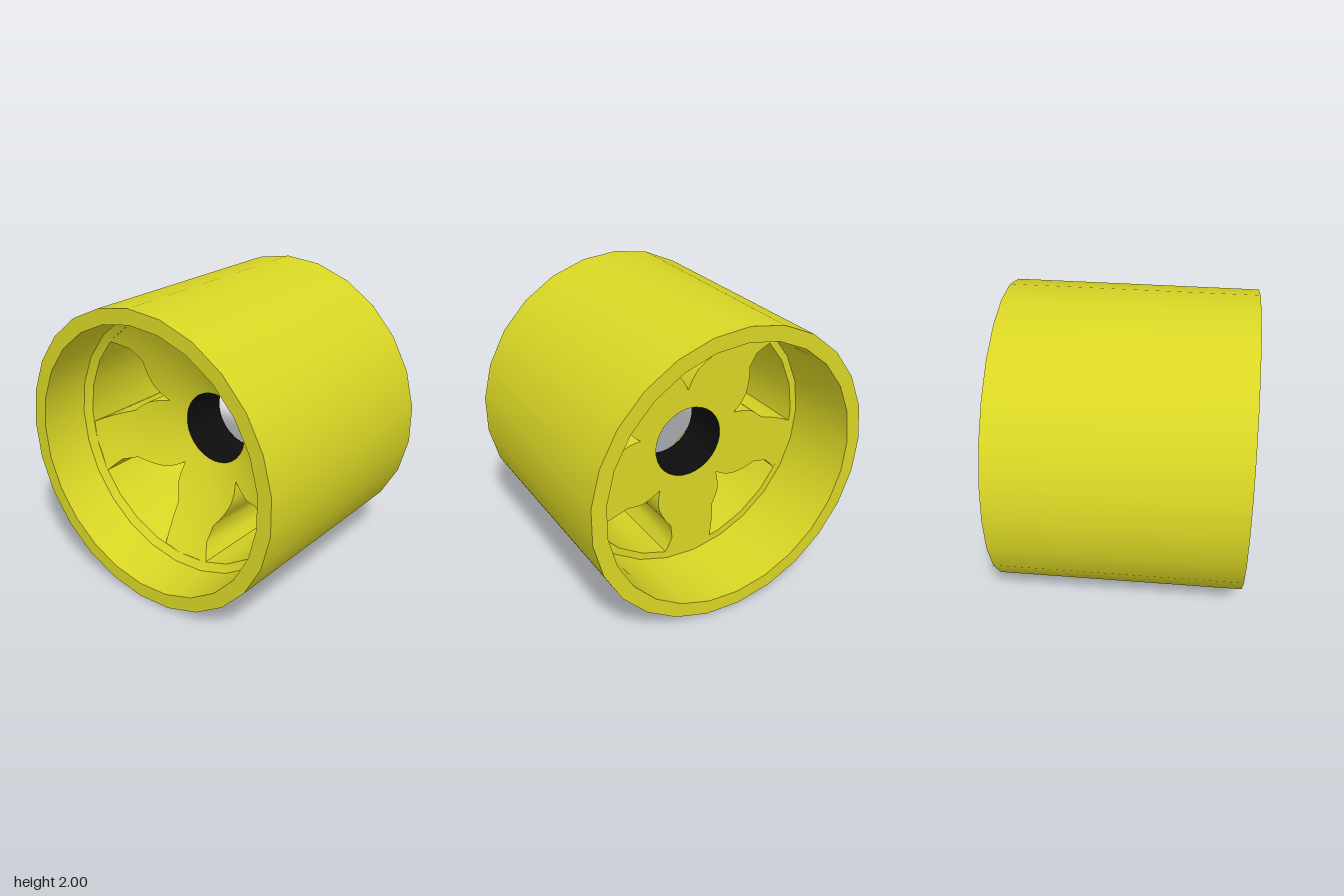
import * as THREE from 'three';
import { mergeGeometries, mergeVertices, toCreasedNormals } from 'three/addons/utils/BufferGeometryUtils.js';

const BACK = -0.26, SPOKES = 5, COLS = 6;
const STEP = (Math.PI * 2) / SPOKES;

// Depth of the bowl-shaped front of the spokes at radius r
const dishZ = (r) => 0.09 + 0.35 * (r - 0.25) + 0.313 * (r - 0.25) ** 2;

// Window edges: [radius, clockwise angle from the window's axis]
const RIGHT = [[0.38, 0.013], [0.45, 0.082], [0.51, 0.158], [0.574, 0.283], [0.644, 0.419], [0.739, 0.457], [0.85, 0.413]];
const LEFT = [[0.38, 0.013], [0.45, -0.06], [0.518, -0.136], [0.596, -0.282], [0.85, -0.408]];
const RADII = [0.25, 0.3, 0.34, 0.38, 0.415, 0.45, 0.48, 0.515, 0.545, 0.574, 0.596, 0.644, 0.69, 0.739, 0.795, 0.85];

function edgeAngle(edge, r) {
  if (r <= edge[0][0]) return edge[0][1];
  for (let i = 1; i < edge.length; i++) {
    const [r0, a0] = edge[i - 1], [r1, a1] = edge[i];
    if (r <= r1) return a0 + ((a1 - a0) * (r - r0)) / (r1 - r0);
  }
  return edge[edge.length - 1][1];
}

// Indexed surface through a grid of points
function surface(rows) {
  const cols = rows[0].length, index = [];
  for (let i = 0; i < rows.length - 1; i++) {
    for (let j = 0; j < cols - 1; j++) {
      const a = i * cols + j, b = a + cols;
      index.push(a, a + 1, b, a + 1, b + 1, b);
    }
  }
  const g = new THREE.BufferGeometry();
  g.setAttribute('position', new THREE.Float32BufferAttribute(rows.flat(2), 3));
  g.setIndex(index);
  return g;
}

function smooth(parts) {
  const g = mergeVertices(mergeGeometries(parts), 1e-4);
  g.computeVertexNormals();
  return g;
}

const polar = (r, a, z) => [r * Math.sin(a), r * Math.cos(a), z];

export function createModel() {
  const yellow = new THREE.MeshStandardMaterial({ color: 0xd9d625 });
  yellow.name = 'yellow';
  const black = new THREE.MeshStandardMaterial({ color: 0x0d0d0d, side: THREE.DoubleSide });
  black.name = 'black';

  const group = new THREE.Group();
  group.name = 'wheel';
  const add = (name, geometry, material) => {
    const mesh = new THREE.Mesh(geometry, material);
    mesh.name = name;
    mesh.position.y = 1;
    group.add(mesh);
  };

  // Barrel with the inner ledge that carries the spokes
  const profile = [
    [1, -0.8], [1, 0.8], [0.9, 0.8], [0.9, dishZ(0.9)], [0.85, dishZ(0.85)],
    [0.85, BACK], [0.9, BACK], [0.9, -0.8], [1, -0.8],
  ].map(([r, z]) => new THREE.Vector2(r, z));
  const barrel = new THREE.LatheGeometry(profile, 25, Math.PI * 1.5);
  barrel.rotateX(Math.PI / 2);
  add('barrel', toCreasedNormals(barrel, 0.5), yellow);

  // Five spokes, each swept outward between two neighbouring windows
  const fronts = [], backs = [], walls = [];
  for (let k = 0; k < SPOKES; k++) {
    const start = (r) => k * STEP + edgeAngle(RIGHT, r);
    const end = (r) => (k + 1) * STEP + edgeAngle(LEFT, r);
    const face = (zOf, flip) => surface(RADII.map((r) => {
      const row = [];
      for (let j = 0; j <= COLS; j++) {
        const t = flip ? 1 - j / COLS : j / COLS;
        row.push(polar(r, start(r) + (end(r) - start(r)) * t, zOf(r)));
      }
      return row;
    }));
    fronts.push(face(dishZ, false));
    backs.push(face(() => BACK, true));

    const outer = RADII.filter((r) => r >= 0.38);
    walls.push(surface(outer.map((r) => [polar(r, start(r), BACK), polar(r, start(r), dishZ(r))])));
    walls.push(surface(outer.map((r) => [polar(r, end(r), dishZ(r)), polar(r, end(r), BACK)])));
  }
  add('spokeFronts', smooth(fronts), yellow);
  add('spokeBacks', smooth(backs), yellow);
  add('windowWalls', toCreasedNormals(mergeGeometries(walls), 0.6), yellow);

  // Axle bore lining
  const depth = dishZ(0.25) - BACK;
  const bore = new THREE.CylinderGeometry(0.25, 0.25, depth, SPOKES * COLS, 1, true);
  bore.rotateX(Math.PI / 2);
  bore.translate(0, 0, BACK + depth / 2);
  add('axleBore', bore, black);

  return group;
}
